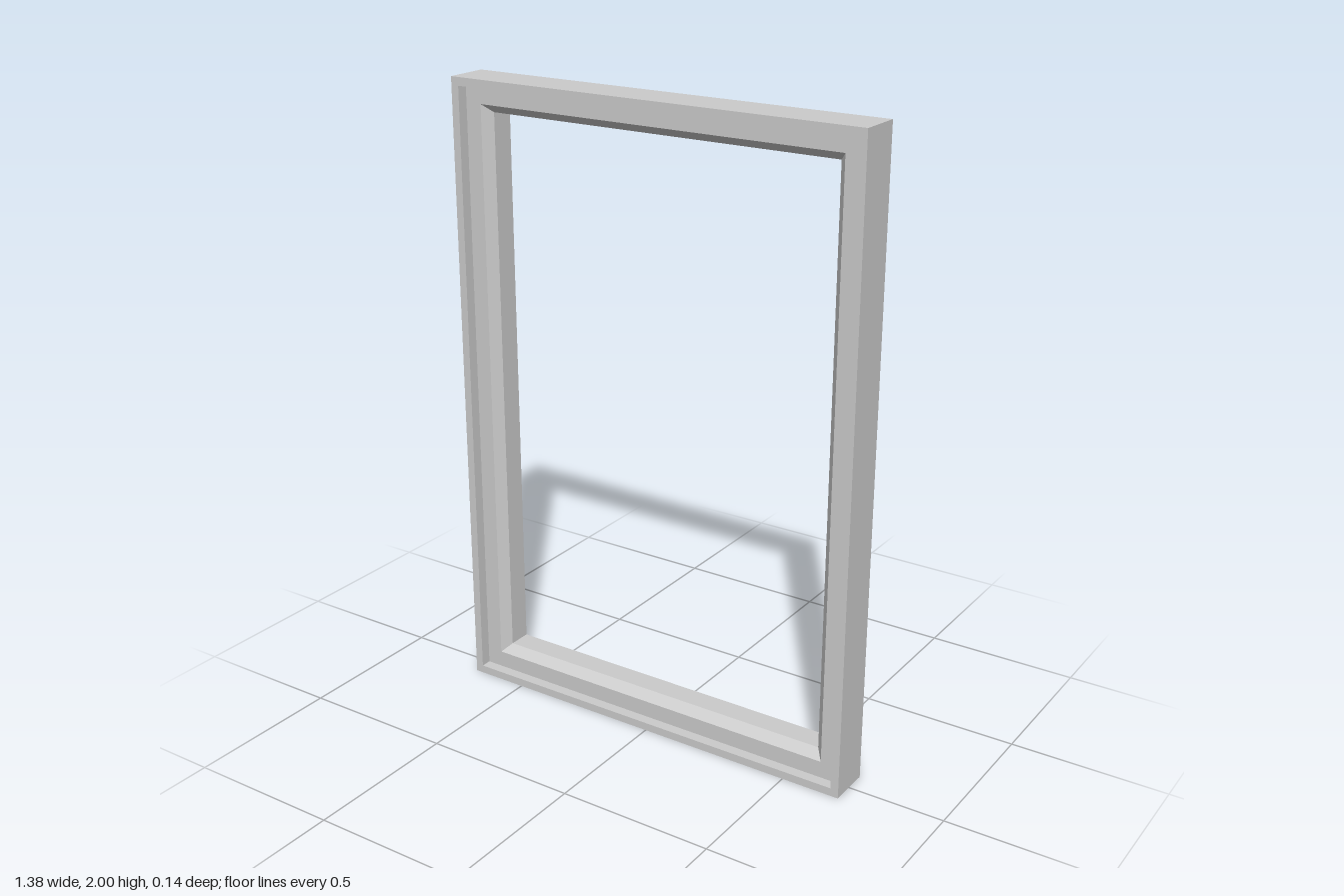
import * as THREE from 'three';

const HALF_W = 0.69, HALF_H = 1, HALF_D = 0.07;

// Cross-section of the moulding: [inset from outer edge, z], closed loop
const PROFILE = [
  [0, -HALF_D],
  [0, HALF_D],              // outer side
  [0.026, HALF_D],          // front rim
  [0.026, HALF_D - 0.035],  // step down
  [0.08, HALF_D - 0.035],   // recessed band
  [0.106, HALF_D - 0.065],  // bevel
  [0.106, -HALF_D],         // opening wall, then back face
];

// Four corners, counter-clockwise from the front
const CORNERS = [[-1, -1], [1, -1], [1, 1], [-1, 1]];

// Sweeps the profile round the rectangle with mitred corners
function mitredFrame(profile) {
  const at = ([sx, sy], [inset, z]) => [sx * (HALF_W - inset), HALF_H + sy * (HALF_H - inset), z];
  const positions = [];
  CORNERS.forEach((a, i) => {
    const b = CORNERS[(i + 1) % 4];
    profile.forEach((p, j) => {
      const q = profile[(j + 1) % profile.length];
      const [a0, b0, b1, a1] = [at(a, p), at(b, p), at(b, q), at(a, q)];
      positions.push(...a0, ...b0, ...b1, ...a0, ...b1, ...a1);
    });
  });
  const geometry = new THREE.BufferGeometry();
  geometry.setAttribute('position', new THREE.Float32BufferAttribute(positions, 3));
  geometry.computeVertexNormals();
  return geometry;
}

export function createModel() {
  const group = new THREE.Group();
  group.name = 'pictureFrame';
  const material = new THREE.MeshStandardMaterial({ color: 0xcccccc, flatShading: true });
  const frame = new THREE.Mesh(mitredFrame(PROFILE), material);
  frame.name = 'frameMoulding';
  group.add(frame);
  return group;
}
